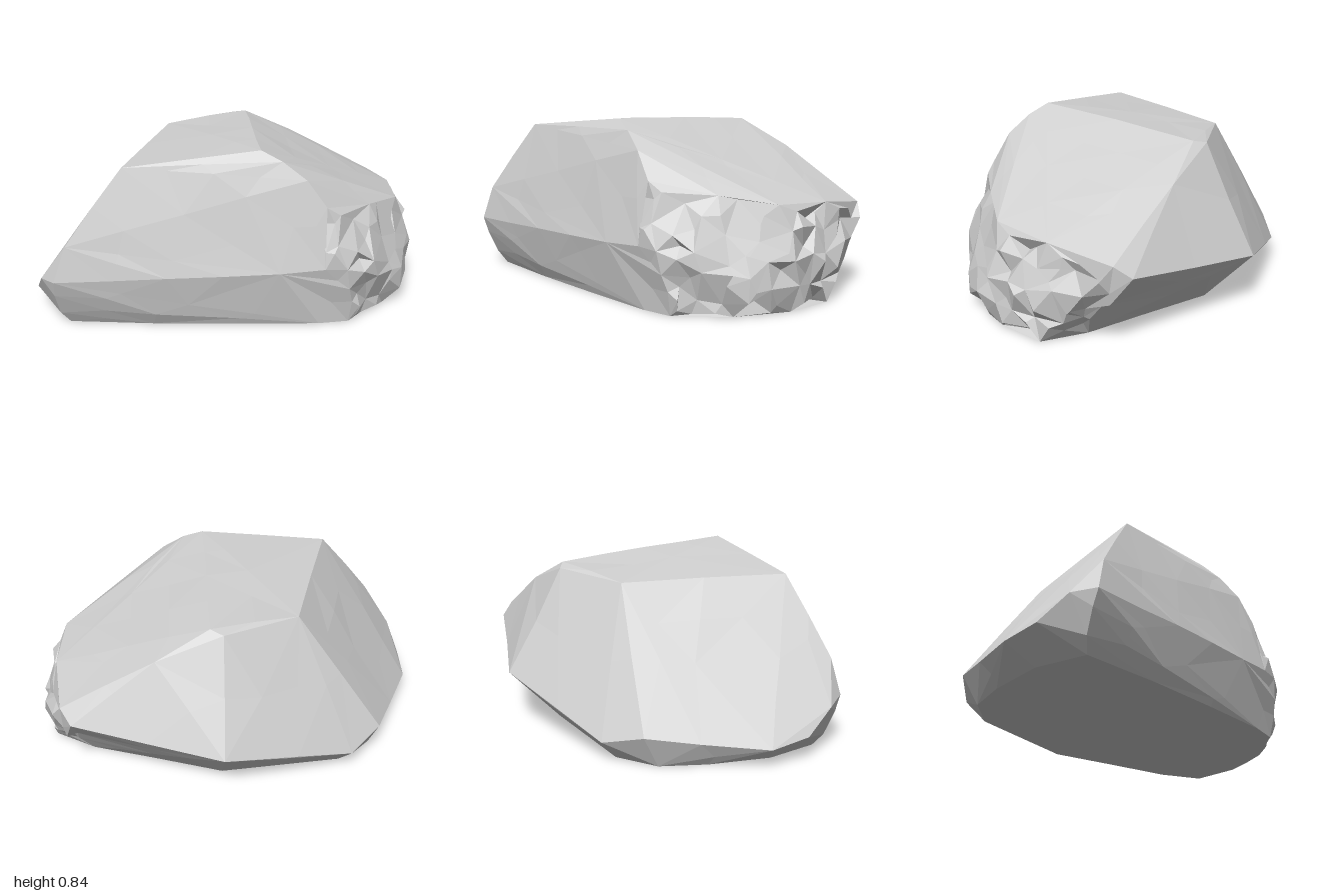
import * as THREE from 'three';
import { ConvexGeometry } from 'three/addons/geometries/ConvexGeometry.js';

const V = (x, y, z) => new THREE.Vector3(x, y, z);

// Corner points of the cleaved boulder
const corners = [
  // top face
  [-0.07, 0.84, 0.42], [-0.64, 0.77, 0.14], [-0.11, 0.757, -0.43], [0.28, 0.77, -0.42], [0.32, 0.787, -0.36],
  // ridge between front face and right slope
  [0, 0.795, 0.5], [0.08, 0.71, 0.58], [0.15, 0.59, 0.64],
  // right shoulder
  [0.57, 0.655, -0.3], [0.97, 0.42, -0.1], [0.95, 0.36, -0.18], [0.41, 0.27, -0.66],
  // back and left rim
  [0.05, 0.19, -0.71], [-0.24, 0.11, -0.74], [-0.44, 0.16, -0.69], [-0.64, 0.13, -0.53],
  [-0.88, 0.1, -0.33], [-0.97, 0.13, -0.17], [-1, 0.23, -0.02], [-0.98, 0.25, 0.1], [-0.92, 0.42, 0.1],
  [-0.97, 0.17, 0.07], [-0.93, 0.06, 0.04],
  // widest line along the front
  [-0.55, 0.26, 0.33], [-0.55, 0.07, 0.285], [-0.07, 0.29, 0.6], [0.12, 0.3, 0.69],
  // broken corner
  [0.45, 0.53, 0.57], [0.7, 0.48, 0.47], [0.86, 0.46, 0.2], [0.99, 0.25, 0.07], [0.92, 0.25, 0.3],
  [0.82, 0.25, 0.5], [0.62, 0.2, 0.69], [0.25, 0.17, 0.74], [0.22, 0.42, 0.71],
  // underside
  [0.13, 0, 0.64], [0.25, 0, 0.67], [0.56, 0, 0.63], [0.74, 0, 0.48], [0.87, 0, 0.25], [0.79, 0, 0.08],
  [0.3, 0, -0.43], [-0.24, 0, -0.64], [-0.45, 0, -0.6], [-0.62, 0, -0.45], [-0.8, 0, -0.22],
  [-0.88, 0, 0.03], [-0.55, 0, 0.25]
].map((p) => V(...p));

// True on the fractured front corner
const isRough = (p) => p.x > 0.15 && p.x + p.z > 0.76 && p.z > -0.06 && p.y < 0.6 - 0.2 * p.x;

// Repeatable noise from a position, -1 to 1
function noise(p, seed) {
  const q = (v) => Math.round(v * 1000);
  const s = Math.sin(q(p.x) * 12.9898 + q(p.y) * 78.233 + q(p.z) * 37.719 + seed * 91.7) * 43758.5453;
  return (s - Math.floor(s)) * 2 - 1;
}

// Bisect long edges, finer on the broken corner
function split(a, b, c, out) {
  const edges = [[a, b, c], [b, c, a], [c, a, b]];
  let best = null, bestRatio = 1;
  for (const e of edges) {
    const mid = e[0].clone().add(e[1]).multiplyScalar(0.5);
    const limit = mid.y < 0.005 ? 0.6 : isRough(mid) ? 0.15 : 0.42;
    const ratio = e[0].distanceTo(e[1]) / limit;
    if (ratio > bestRatio) {
      bestRatio = ratio;
      best = [...e, mid];
    }
  }
  if (!best) {
    out.push(a, b, c);
    return;
  }
  const [p, q, r, m] = best;
  split(p, m, r, out);
  split(m, q, r, out);
}

// Chip the broken corner, leave a faint unevenness elsewhere
function weather(p) {
  const rough = isRough(p);
  const amount = rough ? 0.034 : 0.004;
  const onGround = p.y < 0.005;
  const inset = rough ? 0.01 : 0;
  const d = V(noise(p, 1), noise(p, 2), noise(p, 3)).multiplyScalar(amount);
  return V(
    THREE.MathUtils.clamp(p.x + d.x - inset, -1, 1),
    onGround ? 0 : Math.max(0.012, p.y + d.y),
    THREE.MathUtils.clamp(p.z + d.z - inset, -0.74, 0.74)
  );
}

export function createModel() {
  const group = new THREE.Group();
  group.name = 'rock';

  const stone = new THREE.MeshStandardMaterial({ color: 0xd0d0d0, flatShading: true });
  stone.name = 'grey stone';

  const pos = new ConvexGeometry(corners).getAttribute('position');
  const points = [];
  for (let i = 0; i < pos.count; i += 3) {
    const [a, b, c] = [0, 1, 2].map((k) => new THREE.Vector3().fromBufferAttribute(pos, i + k));
    split(a, b, c, points);
  }

  const geometry = new THREE.BufferGeometry().setFromPoints(points.map(weather));
  geometry.computeVertexNormals();

  const boulder = new THREE.Mesh(geometry, stone);
  boulder.name = 'boulder';
  group.add(boulder);
  return group;
}
